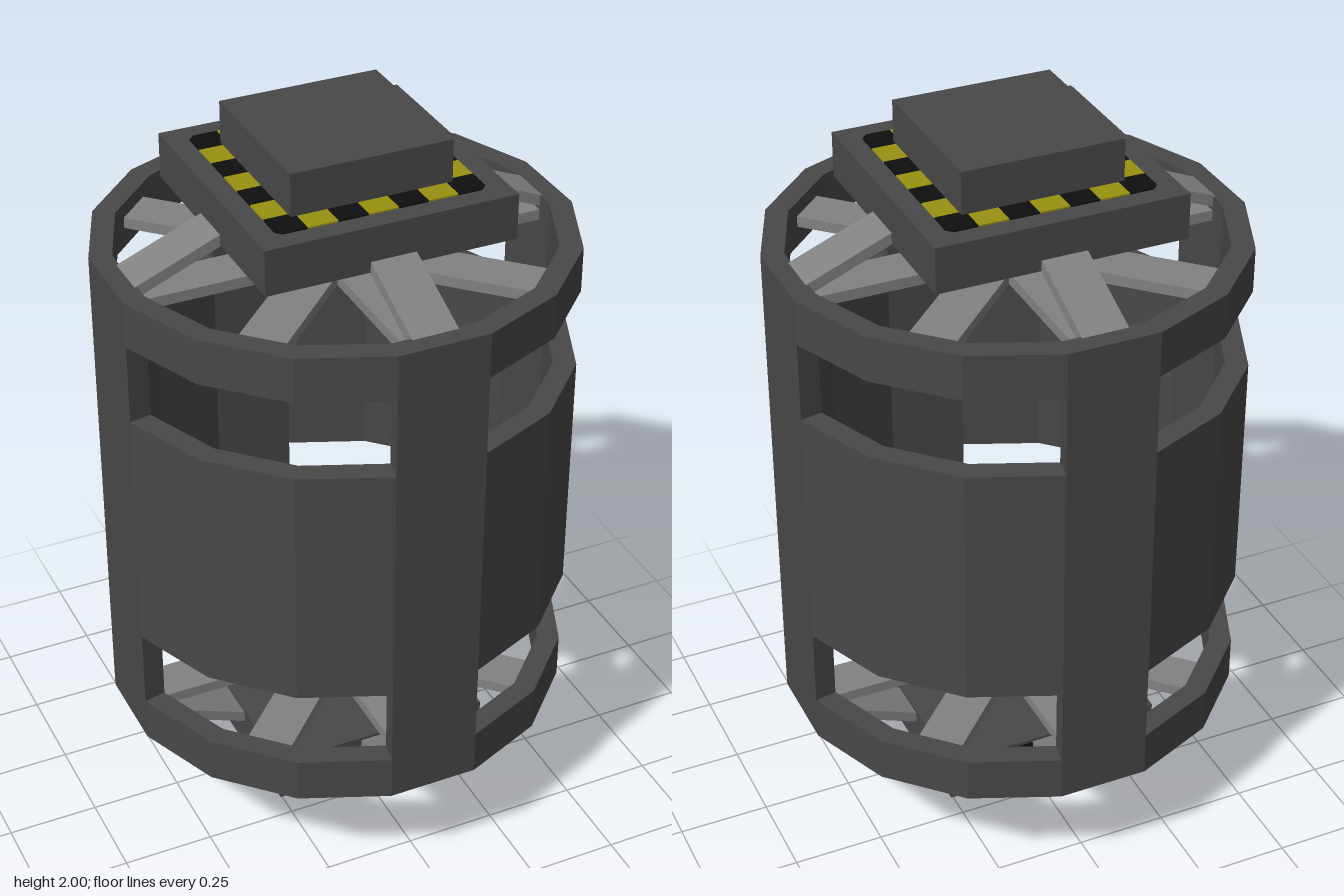
import * as THREE from 'three';

const SIDES = 16, OUTER = 0.637, INNER = 0.576;

const mat = (name, color) => {
  const m = new THREE.MeshStandardMaterial({ color });
  m.name = name;
  return m;
};

// Corner i of a 16-sided outline whose flats face the axes
const corner = (r, i) => {
  const a = (i - 0.5) * Math.PI * 2 / SIDES;
  return new THREE.Vector2(r * Math.cos(a), r * Math.sin(a));
};
const outline = (r) => Array.from({ length: SIDES }, (_, i) => corner(r, i));

// Extrude a plan outline upward from y0 to y1
const extrudeUp = (shape, y0, y1) =>
  new THREE.ExtrudeGeometry(shape, { depth: y1 - y0, bevelEnabled: false })
    .rotateX(-Math.PI / 2).translate(0, y0, 0);

export function createModel() {
  const dark = mat('dark metal', 0x484848);
  const grey = mat('grey metal', 0x828282);
  const yellow = mat('warning yellow', 0x9a9210);
  const black = mat('warning black', 0x0f0f0f);
  const red = mat('warning red', 0x900c0c);

  const model = new THREE.Group();
  model.name = 'reactorDrum';
  const add = (parent, name, geometry, material) => {
    const mesh = new THREE.Mesh(geometry, material);
    mesh.name = name;
    parent.add(mesh);
    return mesh;
  };
  const group = (name) => {
    const g = new THREE.Group();
    g.name = name;
    model.add(g);
    return g;
  };
  const block = (parent, name, half, y0, y1) =>
    add(parent, name, new THREE.BoxGeometry(half * 2, y1 - y0, half * 2)
      .translate(0, (y0 + y1) / 2, 0), dark);

  // Hollow shell: three bands joined by four pillars, leaving eight windows
  const shell = group('shell');
  const ring = new THREE.Shape(outline(OUTER));
  ring.holes.push(new THREE.Path(outline(INNER).reverse()));
  [['lowerRing', 0.315, 0.44], ['middleBand', 0.66, 1.345], ['upperRing', 1.565, 1.69]]
    .forEach(([name, y0, y1]) => add(shell, name, extrudeUp(ring, y0, y1), dark));
  const pillar = new THREE.Shape(
    [corner(INNER, 0), corner(OUTER, 0), corner(OUTER, 1), corner(INNER, 1)]);
  for (const [y0, y1] of [[0.44, 0.66], [1.345, 1.565]]) {
    for (let i = 0; i < 4; i++) {
      add(shell, 'pillar', extrudeUp(pillar, y0, y1).rotateY(i * Math.PI / 2), dark);
    }
  }

  // End plates and caps
  const top = group('topEnd'), bottom = group('bottomEnd');
  block(top, 'topPlate', 0.342, 1.755, 1.88);
  block(top, 'topCap', 0.22, 1.88, 2);
  block(bottom, 'bottomPlate', 0.31, 0.125, 0.25);
  block(bottom, 'bottomCap', 0.187, 0, 0.125);

  // Flat eight-armed spider inside each end ring
  const spokes = group('spokes');
  for (const y of [0.37, 1.635]) {
    for (let i = 0; i < 4; i++) {
      add(spokes, 'flatSpoke', new THREE.BoxGeometry(1.13, 0.03, 0.125)
        .rotateY(i * Math.PI / 4).translate(0, y, 0), grey);
    }
  }

  // Sloped struts from each ring to its plate
  const strut = (r0, y0, r1, y1, side) => {
    const length = Math.hypot(r1 - r0, y1 - y0);
    for (let i = 0; i < 4; i++) {
      add(spokes, 'slopedStrut', new THREE.BoxGeometry(length, 0.03, 0.125)
        .translate(0, -side * 0.015, 0)
        .rotateZ(Math.atan2(y1 - y0, r1 - r0))
        .translate((r0 + r1) / 2, (y0 + y1) / 2, 0)
        .rotateY(i * Math.PI / 2), grey);
    }
  };
  strut(0.28, 1.81, 0.575, 1.689, 1);
  strut(0.26, 0.19, 0.575, 0.316, -1);

  // Striped border: seven alternating cells on each side, clipped at the corners
  const border = (parent, half, y, colour) => {
    const cell = half * 2 / 7, width = 0.065, t = 0.004, c = 0.016;
    const tile = new THREE.Shape([
      [half - cell, half - cell], [half, half - cell], [half, half - c],
      [half - c, half], [half - cell, half],
    ].map(([x, z]) => new THREE.Vector2(x, z)));
    for (let side = 0; side < 4; side++) {
      const turn = side * Math.PI / 2;
      add(parent, 'cornerStripe', extrudeUp(tile, y - t / 2, y + t / 2).rotateY(turn), black);
      for (let i = 1; i < 6; i++) {
        add(parent, 'stripe', new THREE.BoxGeometry(cell, t, width)
          .translate((i - 3) * cell, y, half - width / 2).rotateY(turn),
        i % 2 ? colour : black);
      }
    }
  };
  border(top, 0.285, 1.882, yellow);
  border(bottom, 0.253, 0.123, red);

  // Extra striped strip on the back of the lower plate
  for (let i = 0; i < 7; i++) {
    add(bottom, 'backStripe', new THREE.BoxGeometry(0.0723, 0.06, 0.004)
      .translate((i - 3) * 0.0723, 0.21, -0.311), i % 2 ? red : black);
  }

  return model;
}
